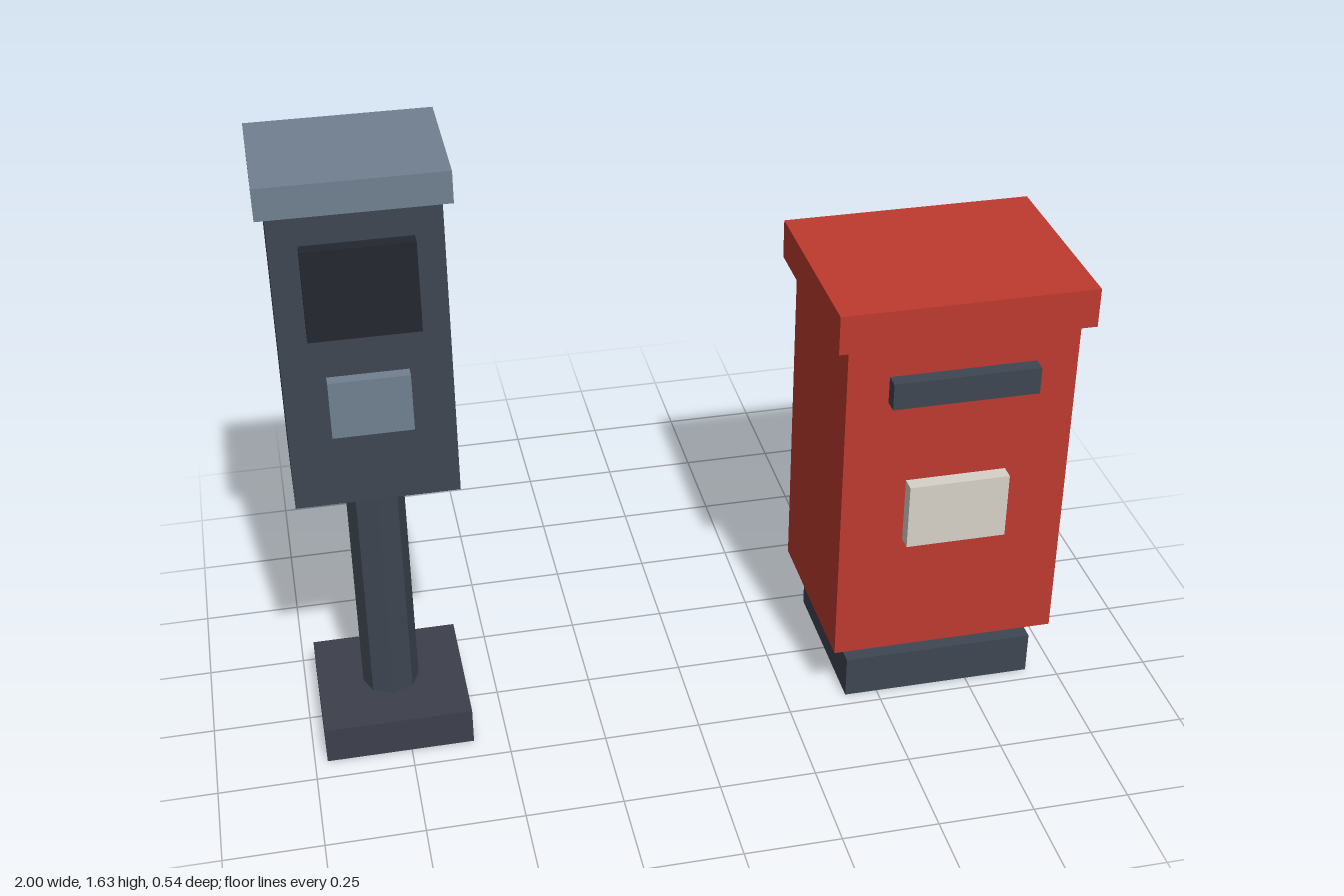
import * as THREE from 'three';

const material = (color) => new THREE.MeshStandardMaterial({ color, flatShading: true });

const slate = material(0x3e4652);
const steel = material(0x3c404c);
const greyBlue = material(0x718090);
const black = material(0x25272f);
const red = material(0xbe3a30);
const cream = material(0xd6d2c8);

// Box given by its extents along each axis
function box(name, mat, [x0, x1], [y0, y1], [z0, z1]) {
  const mesh = new THREE.Mesh(new THREE.BoxGeometry(x1 - x0, y1 - y0, z1 - z0), mat);
  mesh.position.set((x0 + x1) / 2, (y0 + y1) / 2, (z0 + z1) / 2);
  mesh.name = name;
  return mesh;
}

// Extents centred on the origin
const span = (width) => [-width / 2, width / 2];

// Parking meter on an octagonal pole
function createMeter() {
  const meter = new THREE.Group();
  meter.name = 'parkingMeter';
  const pole = new THREE.Mesh(new THREE.CylinderGeometry(0.073, 0.073, 0.67, 8), slate);
  pole.position.y = 0.1 + 0.67 / 2;
  pole.name = 'meterPole';
  meter.add(
    box('meterBase', steel, span(0.38), [0, 0.1], span(0.38)),
    pole,
    box('meterBody', slate, span(0.4), [0.765, 1.55], span(0.31)),
    box('meterCap', greyBlue, span(0.445), [1.55, 1.63], span(0.362)),
    box('meterScreen', black, span(0.265), [1.235, 1.467], [0.15, 0.189]),
    box('meterPlate', greyBlue, span(0.195), [0.97, 1.12], [0.15, 0.186])
  );
  meter.position.set(-0.778, 0, -0.004);
  return meter;
}

// Red post box above its plinth
function createPostBox() {
  const post = new THREE.Group();
  post.name = 'postBox';
  post.add(
    box('postPlinth', slate, span(0.51), [0, 0.116], span(0.43)),
    box('postBody', red, span(0.597), [0.166, 1.09], span(0.478)),
    box('postLid', red, span(0.66), [1.09, 1.195], span(0.526)),
    box('mailSlot', slate, span(0.38), [0.925, 0.998], [0.239, 0.277]),
    box('noticePlate', cream, span(0.263), [0.508, 0.688], [0.239, 0.277])
  );
  post.position.set(0.668, 0, -0.004);
  return post;
}

export function createModel() {
  const model = new THREE.Group();
  model.name = 'streetFurniture';
  model.add(createMeter(), createPostBox());
  return model;
}
